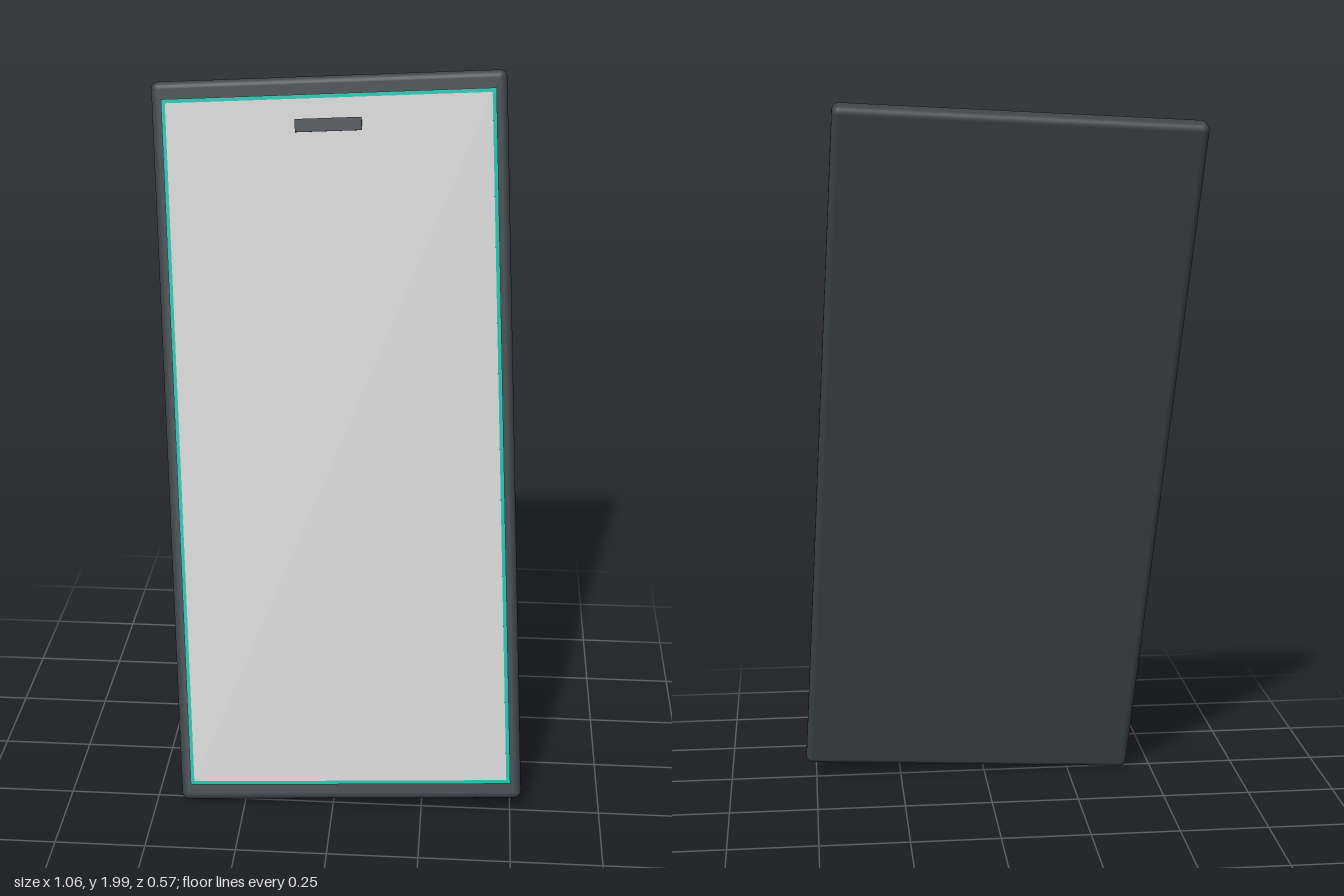
import * as THREE from 'three';
import { RoundedBoxGeometry } from 'three/addons/geometries/RoundedBoxGeometry.js';

const WIDTH = 0.96, HEIGHT = 2.01, DEPTH = 0.06;

export function createModel() {
  const mat = (name, color) => {
    const m = new THREE.MeshStandardMaterial({ color });
    m.name = name;
    return m;
  };
  const dark = mat('dark slate casing', 0x3d444a);
  const teal = mat('teal trim', 0x14b8a6);
  const grey = mat('light grey display', 0xcccccc);

  const phone = new THREE.Group();
  phone.name = 'tiltedSlab';
  const add = (name, geometry, material, y = 0, z = 0) => {
    const mesh = new THREE.Mesh(geometry, material);
    mesh.name = name;
    mesh.position.set(0, y, z);
    phone.add(mesh);
  };

  // Slab casing with softly rounded edges
  add('casing', new RoundedBoxGeometry(WIDTH, HEIGHT, DEPTH, 4, 0.02), dark);

  // Thin layers stacked on the front: trim, display, earpiece
  const front = DEPTH / 2;
  const plate = (name, w, h, t, base, material, y = 0) =>
    add(name, new THREE.BoxGeometry(w, h, t), material, y, front + base + t / 2);
  plate('displayTrim', 0.902, 1.914, 0.007, -0.002, teal);
  plate('display', 0.88, 1.892, 0.009, -0.002, grey);
  plate('earpiece', 0.18, 0.035, 0.008, 0.006, dark, 0.875);

  // Lean back, then roll slightly to one side
  phone.rotation.set(THREE.MathUtils.degToRad(-15), 0, THREE.MathUtils.degToRad(3), 'ZXY');
  phone.position.y = 1;

  const model = new THREE.Group();
  model.name = 'model';
  model.add(phone);
  return model;
}
